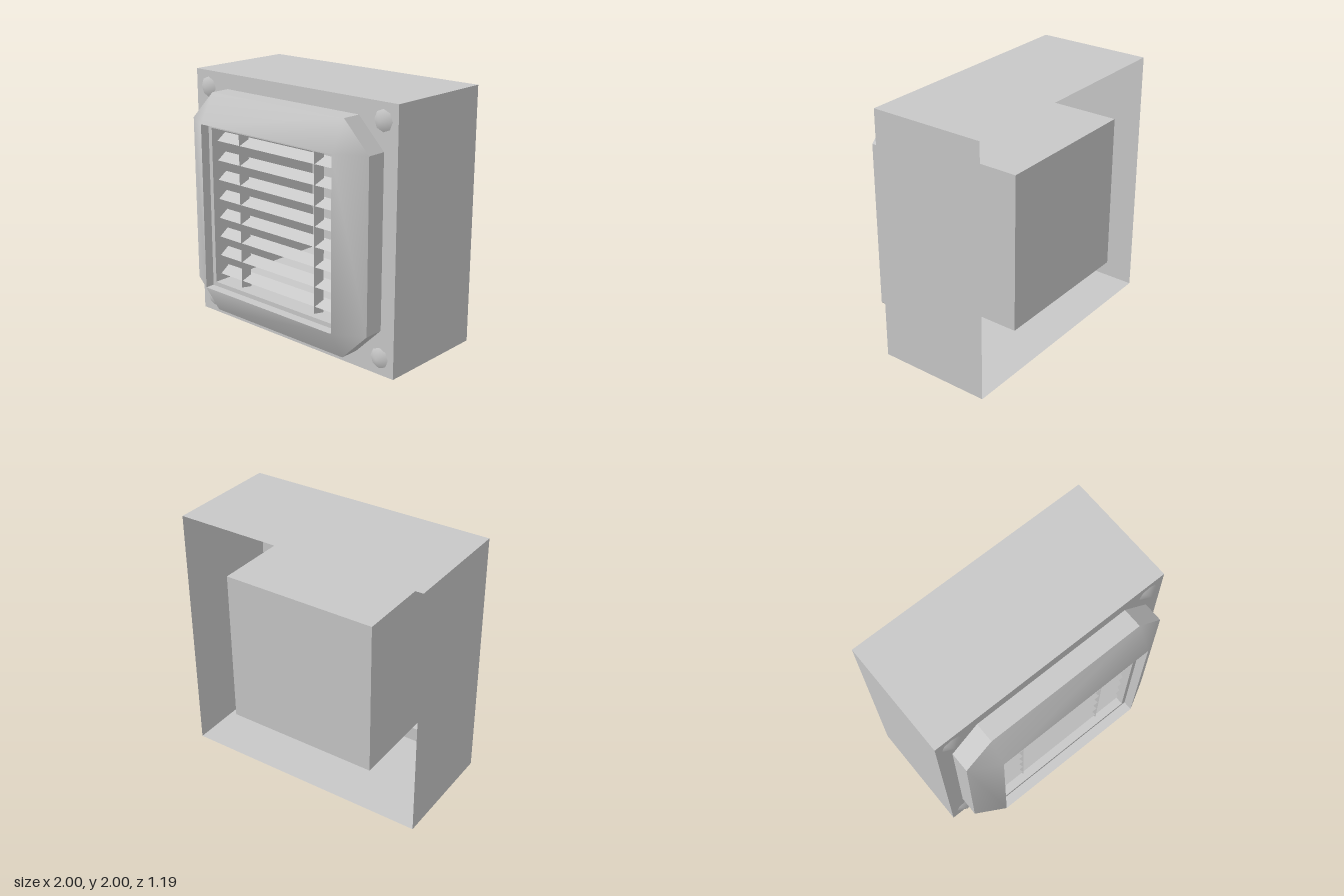
import * as THREE from 'three';
import { mergeVertices } from 'three/addons/utils/BufferGeometryUtils.js';

const CY = 1;                       // height of the centre of every loop
const BACK = -0.595, PLATE = 0.315, SHOULDER = 0.47, FRONT = 0.595, LEDGE = 0.52;
const OPEN = 0.655, DUCT = 0.62, BEZEL = 0.88;

// Eight-point counter-clockwise loop: a square when a === b, else a chamfered square
function loop(a, b, z) {
  return [[a, -b], [a, b], [b, a], [-b, a], [-a, b], [-a, -b], [-b, -a], [b, -a]]
    .map(([x, y]) => new THREE.Vector3(x, y + CY, z));
}
const square = (h, z) => loop(h, h, z);

// Strip of faces between two loops, flat or smooth
function loft(from, to, smooth = false) {
  const pts = [];
  const tri = (a, b, c) => {
    if (a.distanceTo(b) > 1e-6 && b.distanceTo(c) > 1e-6 && c.distanceTo(a) > 1e-6) pts.push(a, b, c);
  };
  from.forEach((a, i) => {
    const j = (i + 1) % from.length;
    tri(a, from[j], to[j]);
    tri(a, to[j], to[i]);
  });
  let geo = new THREE.BufferGeometry().setFromPoints(pts);
  if (smooth) geo = mergeVertices(geo);
  geo.computeVertexNormals();
  return geo;
}

export function createModel() {
  const grey = new THREE.MeshStandardMaterial({ color: 0xc8c8c8, side: THREE.DoubleSide });
  grey.name = 'grey';
  const model = new THREE.Group();
  model.name = 'ventilationUnit';
  const add = (name, geo, x = 0, y = 0, z = 0) => {
    const mesh = new THREE.Mesh(geo, grey);
    mesh.name = name;
    mesh.position.set(x, y, z);
    model.add(mesh);
    return mesh;
  };

  // Housing, open at the back, with a chamfered hole in its front plate
  add('housingWalls', loft(square(1, BACK), square(1, PLATE)));
  add('frontPlate', loft(square(1, PLATE), loop(BEZEL, OPEN, PLATE)));

  // Raised bezel: straight sides, smooth slope, recessed rim
  add('bezelSides', loft(loop(BEZEL, OPEN, PLATE), loop(BEZEL, OPEN, SHOULDER)));
  add('bezelSlope', loft(loop(BEZEL, OPEN, SHOULDER), square(OPEN, FRONT), true));
  add('openingRim', loft(square(OPEN, FRONT), square(OPEN, LEDGE)));
  add('openingLedge', loft(square(OPEN, LEDGE), square(DUCT, LEDGE)));

  // Inner duct, closed at the back
  add('ductWalls', loft(square(DUCT, BACK), square(DUCT, LEDGE)));
  add('ductBack', new THREE.PlaneGeometry(2 * DUCT, 2 * DUCT).rotateY(Math.PI), 0, CY, BACK);

  // Tilted louvre slats, lower edge forward
  const rise = 0.055, run = 0.08;
  const slat = new THREE.PlaneGeometry(2 * DUCT, Math.hypot(rise, run));
  slat.rotateX(-Math.atan2(run, rise));
  for (let i = 0; i < 8; i++) add('slat', slat, 0, 1.537 - i * 0.1535, 0.425);

  // Upright wedge bars, sharp edge forward
  const bar = new THREE.CylinderGeometry(1, 1, 2 * DUCT, 3, 1).toNonIndexed();
  bar.scale(0.03 / 0.866, 1, 0.07 / 1.5);
  bar.computeVertexNormals();
  for (const s of [-1, 1]) add('uprightBar', bar, s * 0.38, CY, 0.423);

  // Corner screw heads
  let head = new THREE.ConeGeometry(0.08, 0.042, 8, 1, true);
  head.deleteAttribute('normal');
  head.deleteAttribute('uv');
  head = mergeVertices(head);
  head.computeVertexNormals();
  head.rotateX(Math.PI / 2);
  for (const x of [-0.87, 0.87])
    for (const y of [0.13, 1.87]) add('screwHead', head, x, y, PLATE + 0.021);

  return model;
}
